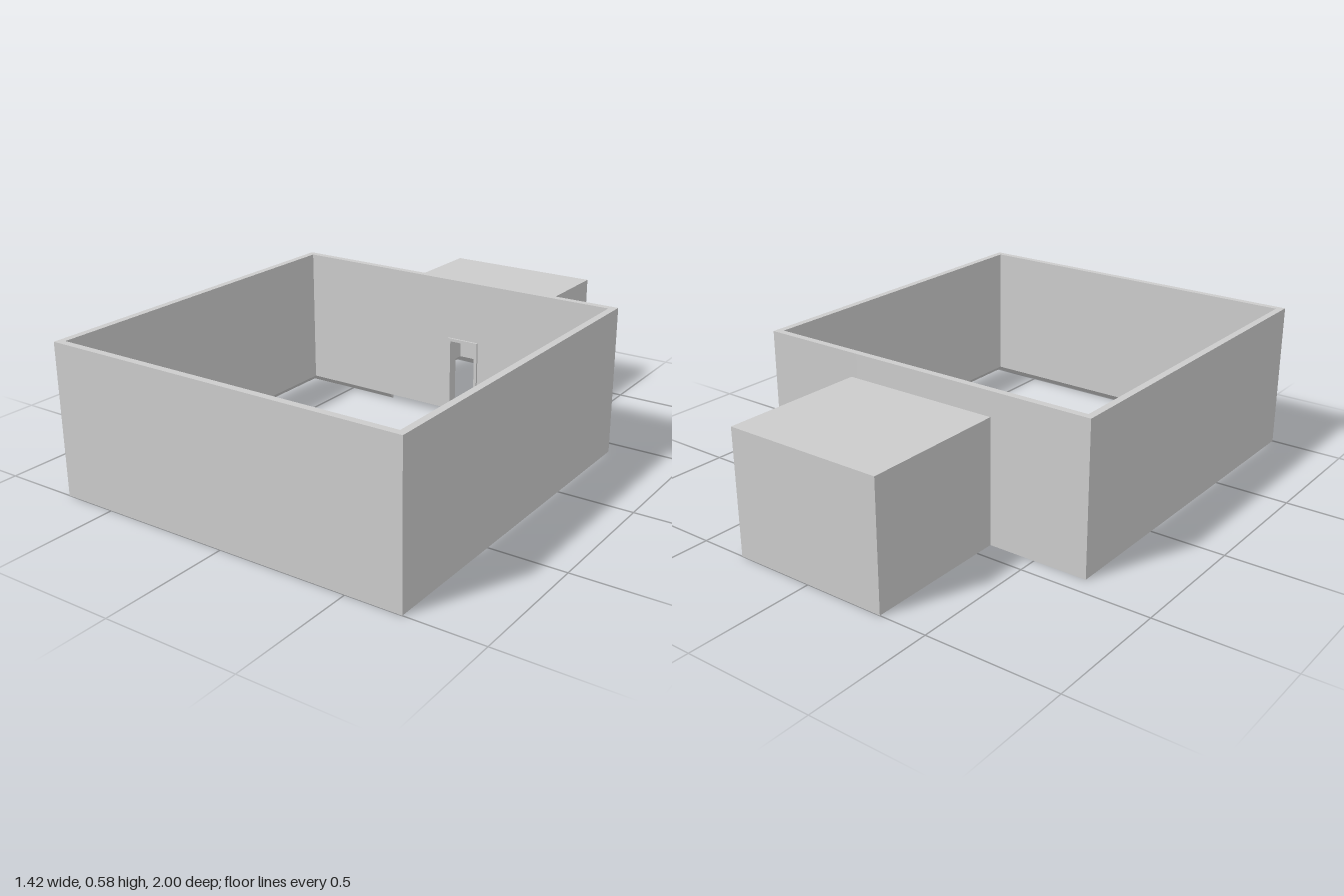
import * as THREE from 'three';

const T = 0.027;                                  // wall thickness
const ROOM = { x: 0.71, back: -0.425, front: 1, h: 0.577 };
const ANNEX = { x: 0.315, back: -1, h: 0.483 };
const DOOR = { x0: 0, x1: 0.135, top: 0.335, bar: 0.012 };

const material = new THREE.MeshStandardMaterial({ color: 0xcccccc, flatShading: true });

function add(group, name, geometry) {
  const mesh = new THREE.Mesh(geometry, material);
  mesh.name = name;
  group.add(mesh);
  return mesh;
}

// Wall along the outer line a -> b, thickening inward, with a sloped foot and optional mitred ends
function addWall(group, name, [ax, az], [bx, bz], h, miterA, miterB) {
  const profile = new THREE.Shape([[0, 0], [T, T], [T, h], [0, h]].map(p => new THREE.Vector2(...p)));
  const length = Math.hypot(bx - ax, bz - az);
  const geometry = new THREE.ExtrudeGeometry(profile, { depth: length, bevelEnabled: false });
  const pos = geometry.attributes.position;
  for (let i = 0; i < pos.count; i++) {
    const d = pos.getX(i), z = pos.getZ(i);
    if (z < length / 2) { if (miterA) pos.setZ(i, z + d); }
    else if (miterB) pos.setZ(i, z - d);
  }
  geometry.computeVertexNormals();
  const wall = add(group, name, geometry);
  wall.position.set(ax, 0, az);
  wall.rotation.y = Math.atan2(bx - ax, bz - az);
}

// Upright panel facing +z from an outline of [x, y] corners
function panel(points, z, depth) {
  const shape = new THREE.Shape(points.map(p => new THREE.Vector2(...p)));
  return new THREE.ExtrudeGeometry(shape, { depth, bevelEnabled: false }).translate(0, 0, z);
}

// Outline of an upside-down U, used for the doorway surround
function arch(x0, x1, y0, y1, left, right, top) {
  return [[x0, y0], [left, y0], [left, top], [right, top], [right, y0], [x1, y0], [x1, y1], [x0, y1]];
}

export function createModel() {
  const model = new THREE.Group();
  model.name = 'building';

  // Open-topped main room
  const room = new THREE.Group();
  room.name = 'mainRoom';
  const { x, back, front, h } = ROOM;
  const inner = ANNEX.x - T;
  addWall(room, 'frontWall', [-x, front], [x, front], h, true, true);
  addWall(room, 'leftWall', [x, front], [x, back], h, true, true);
  addWall(room, 'backWallLeft', [x, back], [inner, back], h, true, false);
  addWall(room, 'backWallRight', [-inner, back], [-x, back], h, false, true);
  addWall(room, 'rightWall', [-x, back], [-x, front], h, true, true);

  // Partition with the doorway cut out
  const { x0, x1, top, bar } = DOOR;
  add(room, 'doorwayWall', panel(arch(-inner, inner, T, h, x0, x1, top), back, T));
  add(room, 'doorFrame', panel(arch(x0, x1, T, top, x0 + bar, x1 - bar, top - bar), back - 0.008, T + 0.016));

  // Roofed annex behind the room
  const annex = new THREE.Group();
  annex.name = 'annex';
  const a = ANNEX.x, wallTop = ANNEX.h - T;
  addWall(annex, 'annexLeftWall', [a, back], [a, ANNEX.back], wallTop, false, true);
  addWall(annex, 'annexBackWall', [a, ANNEX.back], [-a, ANNEX.back], wallTop, true, true);
  addWall(annex, 'annexRightWall', [-a, ANNEX.back], [-a, back], wallTop, true, false);
  const depth = back - ANNEX.back;
  add(annex, 'annexRoof', new THREE.BoxGeometry(2 * a, T, depth))
    .position.set(0, ANNEX.h - T / 2, ANNEX.back + depth / 2);

  model.add(room, annex);
  return model;
}
